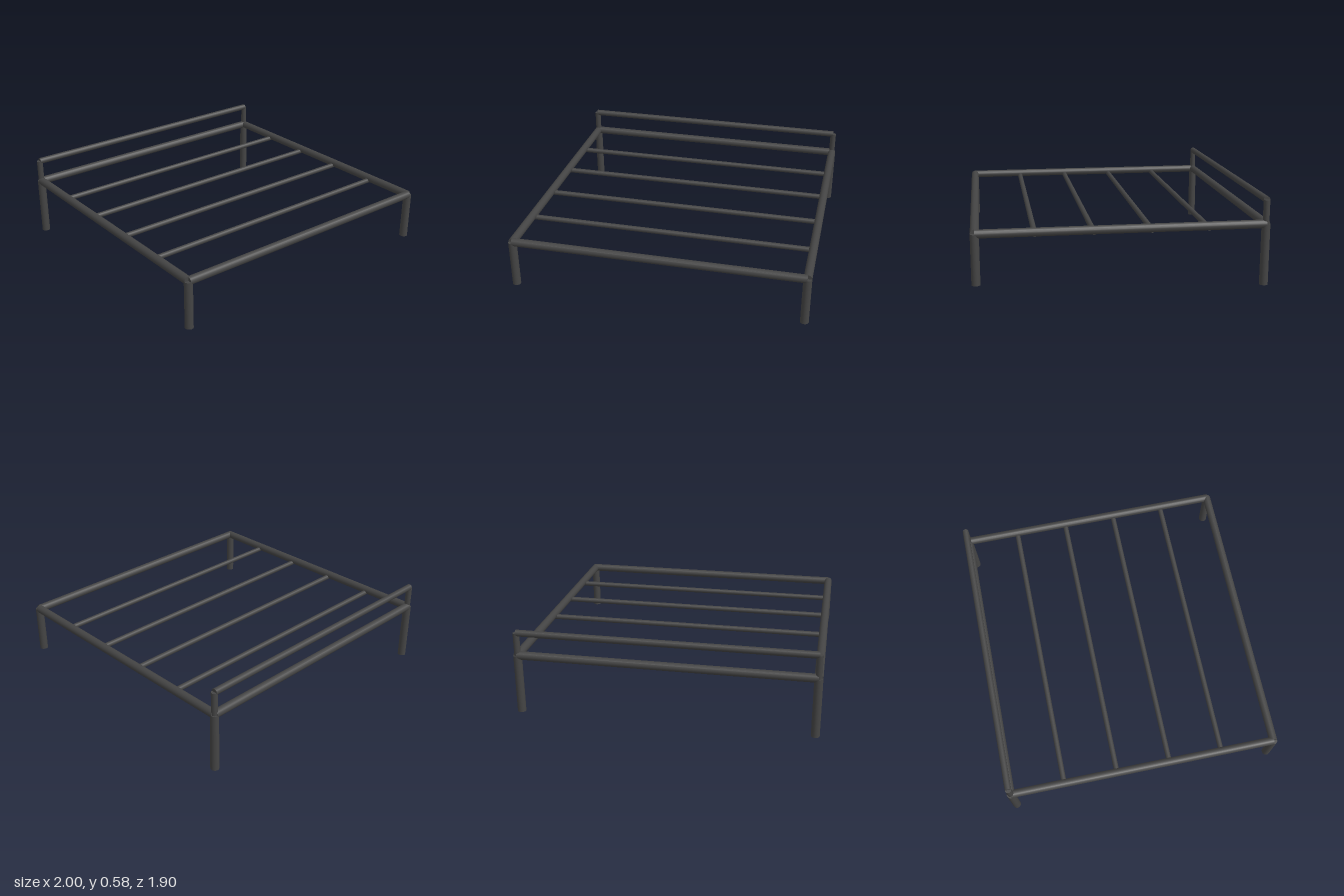
import * as THREE from 'three';

const X = 0.972, Z = 0.92; // tube centre lines of the corners
const FRAME_Y = 0.403, TOP_Y = 0.56;
const R = 0.028, HEAD_R = 0.022, SLAT_R = 0.018;

export function createModel() {
  const group = new THREE.Group();
  const steel = new THREE.MeshStandardMaterial({ color: 0x444444 });
  steel.name = 'dark grey steel';

  // Straight capped tube between two points
  function tube(name, radius, from, to) {
    const a = new THREE.Vector3(...from), b = new THREE.Vector3(...to);
    const dir = b.clone().sub(a);
    const mesh = new THREE.Mesh(new THREE.CylinderGeometry(radius, radius, dir.length(), 16), steel);
    mesh.position.copy(a).add(b).multiplyScalar(0.5);
    mesh.quaternion.setFromUnitVectors(new THREE.Vector3(0, 1, 0), dir.normalize());
    mesh.name = name;
    group.add(mesh);
  }

  for (const [side, x] of [['left', X], ['right', -X]]) {
    // Legs: the front pair is shorter
    tube(side + 'FrontLeg', R, [x, 0.078, Z], [x, FRAME_Y, Z]);
    tube(side + 'BackLeg', R, [x, 0, -Z], [x, FRAME_Y, -Z]);
    tube(side + 'SideRail', R, [x, FRAME_Y, -Z], [x, FRAME_Y, Z]);
    tube(side + 'HeadPost', 0.021, [x, FRAME_Y, -Z], [x, TOP_Y, -Z]);
  }

  // Cross rails and headboard bar
  tube('frontRail', R, [-X, FRAME_Y, Z], [X, FRAME_Y, Z]);
  tube('backRail', R, [-X, FRAME_Y, -Z], [X, FRAME_Y, -Z]);
  tube('headBar', HEAD_R, [-X, TOP_Y, -Z], [X, TOP_Y, -Z]);

  // Slats, set slightly below the frame centre
  for (let i = 1; i <= 4; i++) {
    const z = -Z + (2 * Z * i) / 5;
    tube('slat' + i, SLAT_R, [-X, 0.388, z], [X, 0.388, z]);
  }
  return group;
}
